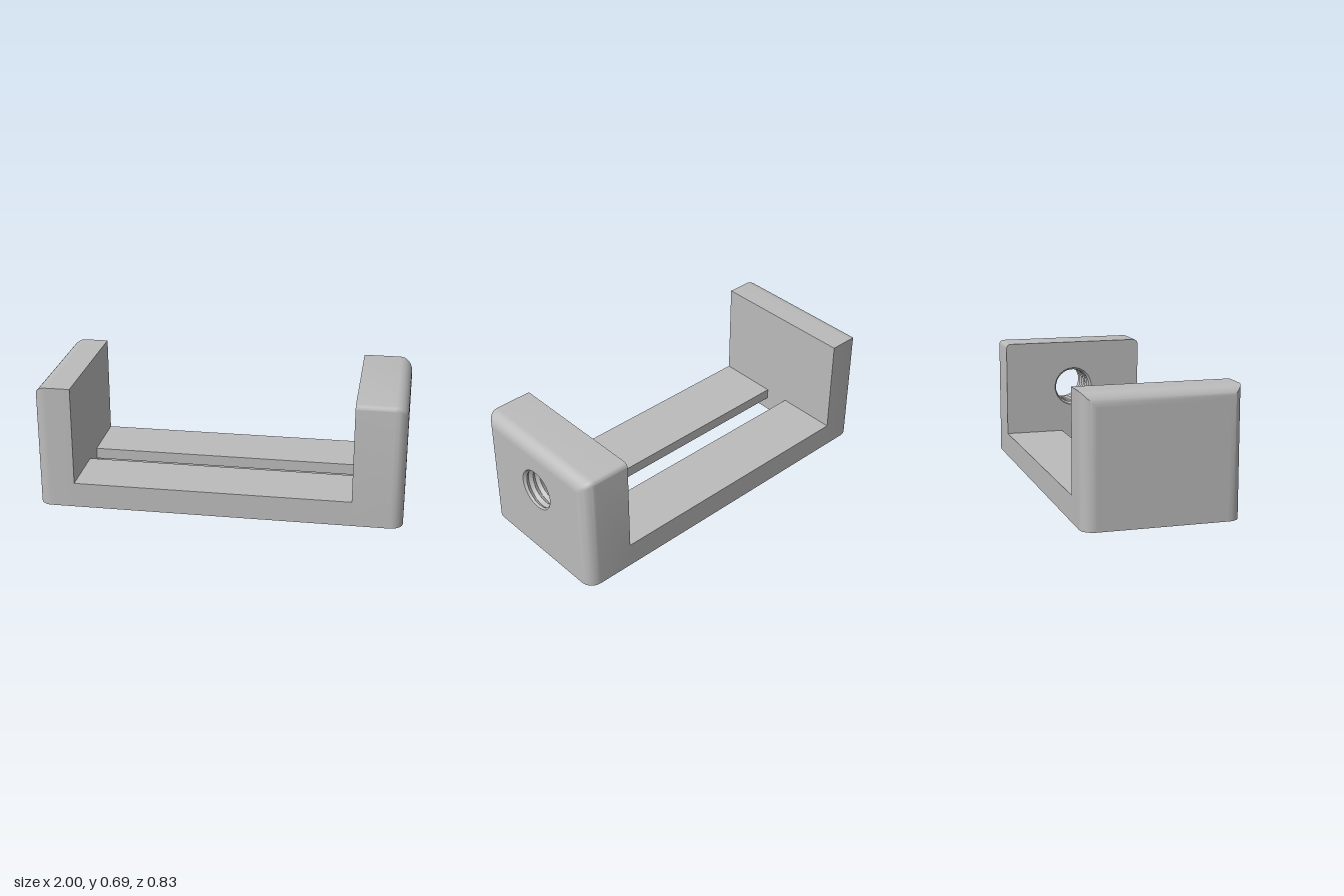
import * as THREE from 'three';
import { mergeGeometries, toCreasedNormals } from 'three/addons/utils/BufferGeometryUtils.js';

const HALF_DEPTH = 0.415, TOP = 0.69, BASE = 0.14, FILLET = 0.07;
const LEFT_INNER = 0.795, RIGHT_INNER = 0.725;
const HOLE_Y = 0.415, HOLE_R = 0.115, CREST_R = 0.102, PITCH = 0.04;

// Indexed grid surface through rings of points; flip reverses the facing.
function gridSurface(rings, flip, crease) {
  const n = rings[0].length, index = [];
  for (let i = 0; i < rings.length - 1; i++) {
    for (let j = 0; j < n - 1; j++) {
      const a = i * n + j, b = a + 1, c = a + n, d = c + 1;
      if (flip) index.push(a, b, c, b, d, c);
      else index.push(a, c, b, b, c, d);
    }
  }
  const geo = new THREE.BufferGeometry();
  geo.setAttribute('position', new THREE.Float32BufferAttribute(rings.flat(2), 3));
  geo.setIndex(index);
  return toCreasedNormals(geo, crease);
}

// Jaw outline as [z, y], inset on the sides and top, with optional rounded top corners.
function outline(inset, round) {
  const w = HALF_DEPTH - inset, h = TOP - inset, half = [[w, 0]];
  const steps = round > 0 ? 5 : 0;
  for (let i = 0; i <= steps; i++) {
    const t = steps ? (i / steps) * Math.PI / 2 : 0;
    half.push([w - round + round * Math.cos(t), h - round + round * Math.sin(t)]);
  }
  const other = half.map(([z, y]) => [-z, y]).reverse();
  return [...half, ...other];
}

// Flat end face of a jaw, facing +x or -x.
function endFace(points, x, dir, hole) {
  const shape = new THREE.Shape(points.map(([z, y]) => new THREE.Vector2(z, y)));
  if (hole) {
    const path = new THREE.Path();
    path.absarc(0, HOLE_Y, HOLE_R, 0, Math.PI * 2, true);
    shape.holes.push(path);
  }
  return new THREE.ShapeGeometry(shape, 24).rotateY(dir * Math.PI / 2).translate(x, 0, 0).toNonIndexed();
}

// Jaw running from its inner face to x = 1, with the outer edges filleted.
function jawGeometry(inner, round, hole) {
  const sections = [{ x: inner, pts: outline(0, round) }];
  for (let i = 0; i <= 10; i++) {
    const t = (i / 10) * Math.PI / 2;
    const inset = FILLET * (1 - Math.cos(t));
    sections.push({
      x: 1 - FILLET + FILLET * Math.sin(t),
      pts: outline(inset, round * (1 - 0.7 * inset / FILLET)),
    });
  }
  const rings = sections.map(({ x, pts }) => [...pts, pts[0]].map(([z, y]) => [x, y, z]));
  return mergeGeometries([
    gridSurface(rings, false, 0.6),
    endFace(sections[0].pts, inner, -1, hole),
    endFace(sections.at(-1).pts, 1, 1, hole),
  ].map((g) => { g.deleteAttribute('uv'); return g; }));
}

// Internal screw thread: the radius follows a triangular helical wave.
function threadGeometry() {
  const length = 1 - RIGHT_INNER, rows = Math.round(length / PITCH * 24), rings = [];
  for (let i = 0; i <= rows; i++) {
    const u = length * i / rows, ring = [];
    for (let j = 0; j <= 48; j++) {
      const turn = j / 48, phase = (u / PITCH + turn) % 1;
      const wave = CREST_R + (HOLE_R - CREST_R) * Math.abs(2 * phase - 1);
      const r = Math.max(wave, HOLE_R - Math.min(u, length - u));
      const a = turn * Math.PI * 2;
      ring.push([RIGHT_INNER + u, HOLE_Y + r * Math.sin(a), r * Math.cos(a)]);
    }
    rings.push(ring);
  }
  return gridSurface(rings, true, 0.6);
}

// One rail of the bed: L profile leaving a narrow slot above a wider recess.
function railGeometry() {
  const profile = new THREE.Shape([
    [-HALF_DEPTH, 0], [-0.21, 0], [-0.21, 0.078], [-0.073, 0.078], [-0.073, BASE], [-HALF_DEPTH, BASE],
  ].map(([z, y]) => new THREE.Vector2(z, y)));
  const length = LEFT_INNER + RIGHT_INNER;
  return new THREE.ExtrudeGeometry(profile, { depth: length, bevelEnabled: false })
    .translate(0, 0, -length / 2).rotateY(Math.PI / 2);
}

export function createModel() {
  const model = new THREE.Group();
  model.name = 'viseBody';
  const grey = new THREE.MeshStandardMaterial({ color: 0xbbbbbb });
  grey.name = 'grey';

  const add = (name, geometry) => {
    const mesh = new THREE.Mesh(geometry, grey);
    mesh.name = name;
    model.add(mesh);
    return mesh;
  };

  // Jaws
  add('threadedJaw', jawGeometry(RIGHT_INNER, 0.025, true));
  add('fixedJaw', jawGeometry(LEFT_INNER, 0, false)).rotation.y = Math.PI;
  add('screwThread', threadGeometry());

  // Bed rails on either side of the slot
  const middle = (RIGHT_INNER - LEFT_INNER) / 2;
  for (const [name, turn] of [['frontRail', 0], ['backRail', Math.PI]]) {
    const rail = add(name, railGeometry());
    rail.rotation.y = turn;
    rail.position.x = middle;
  }
  return model;
}
